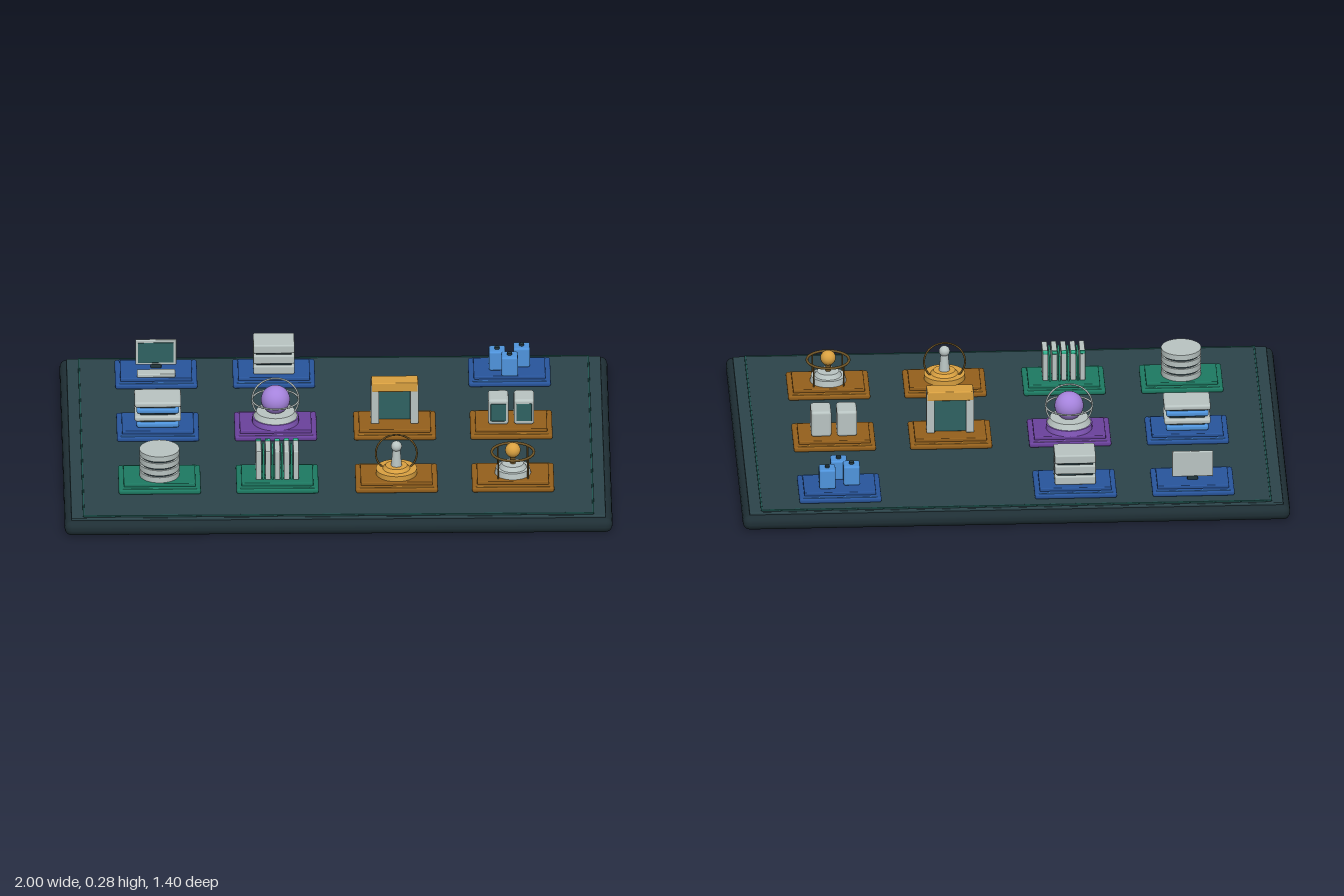
import * as THREE from 'three';
import { RoundedBoxGeometry } from 'three/addons/geometries/RoundedBoxGeometry.js';

const GREY = 0xb9c4c2, DARK = 0x23373d, GOLD = 0xd9a040, BLUE = 0x4f94dc, TEAL = 0x2f6262, BRONZE = 0x6e5426;
const PAD_TOP = 0.1;

function add(parent, name, geo, color, x, y, z) {
  const m = new THREE.Mesh(geo, new THREE.MeshStandardMaterial({ color }));
  m.name = name;
  m.position.set(x, y, z);
  parent.add(m);
  return m;
}
// Boxes and cylinders are placed by the height of their underside
const box = (p, name, color, w, h, d, x, y, z, r = 0.004) =>
  add(p, name, new RoundedBoxGeometry(w, h, d, 2, r), color, x, y + h / 2, z);
const disc = (p, name, color, rTop, rBottom, h, y, x = 0, z = 0) =>
  add(p, name, new THREE.CylinderGeometry(rTop, rBottom, h, 40), color, x, y + h / 2, z);
const ball = (p, name, color, r, y, x = 0, z = 0) =>
  add(p, name, new THREE.SphereGeometry(r, 32, 20), color, x, y, z);
const ring = (p, name, color, r, tube, y, z = 0) =>
  add(p, name, new THREE.TorusGeometry(r, tube, 8, 56), color, 0, y, z);

// Two-step plinth under each miniature
function pad(root, name, color, light, x, z) {
  const g = new THREE.Group();
  g.name = name;
  g.position.set(x, 0, z);
  root.add(g);
  box(g, 'padBase', color, 0.3, 0.02, 0.215, 0, 0.068, 0, 0.008);
  box(g, 'padTop', color, 0.262, 0.014, 0.16, 0, 0.086, 0);
  for (const s of [-1, 1]) box(g, 'padEdge', light, 0.27, 0.004, 0.006, 0, 0.086, s * 0.098, 0.0015);
  return g;
}

function terminal(g) {
  box(g, 'screen', GREY, 0.15, 0.1, 0.012, 0, 0.11, -0.018);
  box(g, 'screenFace', TEAL, 0.13, 0.08, 0.004, 0, 0.12, -0.011, 0.001);
  box(g, 'screenFoot', DARK, 0.04, 0.015, 0.02, 0, 0.098, -0.018);
  box(g, 'keyboard', GREY, 0.14, 0.014, 0.046, 0, PAD_TOP, 0.052);
}

function serverStack(g) {
  for (let i = 0; i < 3; i++) {
    box(g, 'serverUnit', GREY, 0.15, 0.034, 0.11, 0, PAD_TOP + i * 0.042, 0, 0.006);
    if (i < 2) box(g, 'serverGap', DARK, 0.13, 0.012, 0.09, 0, 0.132 + i * 0.042, 0);
  }
}

function cubes(g) {
  for (const [x, z] of [[-0.045, 0.005], [0.045, -0.022], [0, 0.055]]) {
    box(g, 'cube', BLUE, 0.06, 0.076, 0.06, x, PAD_TOP, z, 0.007);
    disc(g, 'cubeKnob', DARK, 0.009, 0.009, 0.01, 0.174, x, z);
  }
}

function layeredSlabs(g) {
  for (let i = 0; i < 4; i++)
    box(g, 'slab', i % 2 ? GREY : BLUE, i % 2 ? 0.17 : 0.155, 0.021, i % 2 ? 0.122 : 0.11, 0, PAD_TOP + i * 0.028, 0, 0.008);
  box(g, 'slabCore', DARK, 0.13, 0.1, 0.09, 0, PAD_TOP, 0);
}

function orb(g) {
  disc(g, 'orbPlinth', 0x8a5cc4, 0.085, 0.085, 0.022, PAD_TOP);
  disc(g, 'orbCollar', GREY, 0.07, 0.08, 0.02, 0.122);
  ball(g, 'orb', 0xa583dc, 0.053, 0.187);
  ring(g, 'uprightRing', GREY, 0.085, 0.0035, 0.187);
  ring(g, 'levelRing', GREY, 0.085, 0.0035, 0.187).rotation.x = Math.PI / 2;
}

function gate(g) {
  for (const s of [-1, 1]) box(g, 'gatePillar', GREY, 0.03, 0.158, 0.064, s * 0.072, PAD_TOP, 0);
  box(g, 'gateLintel', GOLD, 0.17, 0.036, 0.066, 0, 0.229, 0);
  box(g, 'gatePanel', TEAL, 0.12, 0.13, 0.008, 0, PAD_TOP, -0.012, 0.002);
}

function cabinets(g) {
  for (const s of [-1, 1]) {
    box(g, 'cabinet', GREY, 0.074, 0.1, 0.092, s * 0.047, PAD_TOP, 0, 0.01);
    box(g, 'cabinetWindow', TEAL, 0.056, 0.07, 0.006, s * 0.047, 0.115, 0.045, 0.002);
  }
}

function drum(g) {
  disc(g, 'drumCore', DARK, 0.066, 0.066, 0.1, PAD_TOP);
  for (let i = 0; i < 4; i++) disc(g, 'drumTier', GREY, 0.073, 0.073, 0.021, PAD_TOP + i * 0.028);
}

function boards(g) {
  for (let i = 0; i < 5; i++) {
    const x = (i - 2) * 0.034;
    box(g, 'board', GREY, 0.02, 0.115, 0.1, x, PAD_TOP, 0.004);
    if (i < 4) box(g, 'divider', 0x35b893, 0.007, 0.1, 0.1, x + 0.017, PAD_TOP, 0, 0.002);
    box(g, 'boardLight', 0x35b893, 0.02, 0.012, 0.014, x, 0.208, -0.044);
  }
}

function figure(g) {
  disc(g, 'stage', GOLD, 0.075, 0.075, 0.02, PAD_TOP);
  disc(g, 'stageStep', GOLD, 0.04, 0.05, 0.012, 0.12);
  disc(g, 'figureBody', GREY, 0.014, 0.02, 0.064, 0.13);
  ball(g, 'figureHead', GREY, 0.02, 0.208);
  ring(g, 'halo', BRONZE, 0.075, 0.0035, 0.172, -0.015);
}

function beacon(g) {
  disc(g, 'beaconBase', GREY, 0.062, 0.066, 0.022, PAD_TOP);
  disc(g, 'beaconStep', GREY, 0.04, 0.05, 0.016, 0.122);
  disc(g, 'beaconPost', BRONZE, 0.01, 0.01, 0.04, 0.136);
  ball(g, 'beaconBall', GOLD, 0.028, 0.19);
  ring(g, 'upperRing', BRONZE, 0.077, 0.005, 0.182).rotation.x = Math.PI / 2;
  for (let i = 0; i < 4; i++) {
    const a = Math.PI / 4 + i * Math.PI / 2;
    disc(g, 'ringPost', BRONZE, 0.003, 0.003, 0.082, PAD_TOP, 0.077 * Math.cos(a), 0.077 * Math.sin(a));
  }
}

export function createModel() {
  const root = new THREE.Group();
  root.name = 'displayBoard';

  // Board with raised top and a fine border line
  box(root, 'board', 0x1f2f35, 2, 0.056, 1.4, 0, 0, 0, 0.026);
  box(root, 'boardTop', 0x2c444a, 1.95, 0.012, 1.35, 0, 0.052, 0);
  box(root, 'boardInlay', 0x2c444a, 1.86, 0.009, 1.33, 0, 0.06, 0, 0.002);
  for (const s of [-1, 1]) {
    box(root, 'borderLong', 0x1f5550, 1.866, 0.005, 0.006, 0, 0.066, s * 0.663, 0.001);
    box(root, 'borderShort', 0x1f5550, 0.006, 0.005, 1.326, s * 0.93, 0.066, 0, 0.001);
  }

  const blue = [0x28559c, 0x4080cc], green = [0x1d7a62, 0x2fa585];
  const orange = [0x94601c, 0xc98c30], purple = [0x6a419c, 0x9468c8];
  const X = [-0.65, -0.22, 0.215, 0.64], Z = [-0.51, -0.065, 0.38];
  const layout = [
    ['terminal', terminal, blue, 0, 0], ['serverStack', serverStack, blue, 1, 0], ['cubes', cubes, blue, 3, 0],
    ['layeredSlabs', layeredSlabs, blue, 0, 1], ['orbStand', orb, purple, 1, 1],
    ['gate', gate, orange, 2, 1], ['cabinets', cabinets, orange, 3, 1],
    ['drum', drum, green, 0, 2], ['boards', boards, green, 1, 2],
    ['figureStage', figure, orange, 2, 2], ['beacon', beacon, orange, 3, 2],
  ];
  for (const [name, build, [color, light], i, j] of layout) build(pad(root, name, color, light, X[i], Z[j]));
  return root;
}
